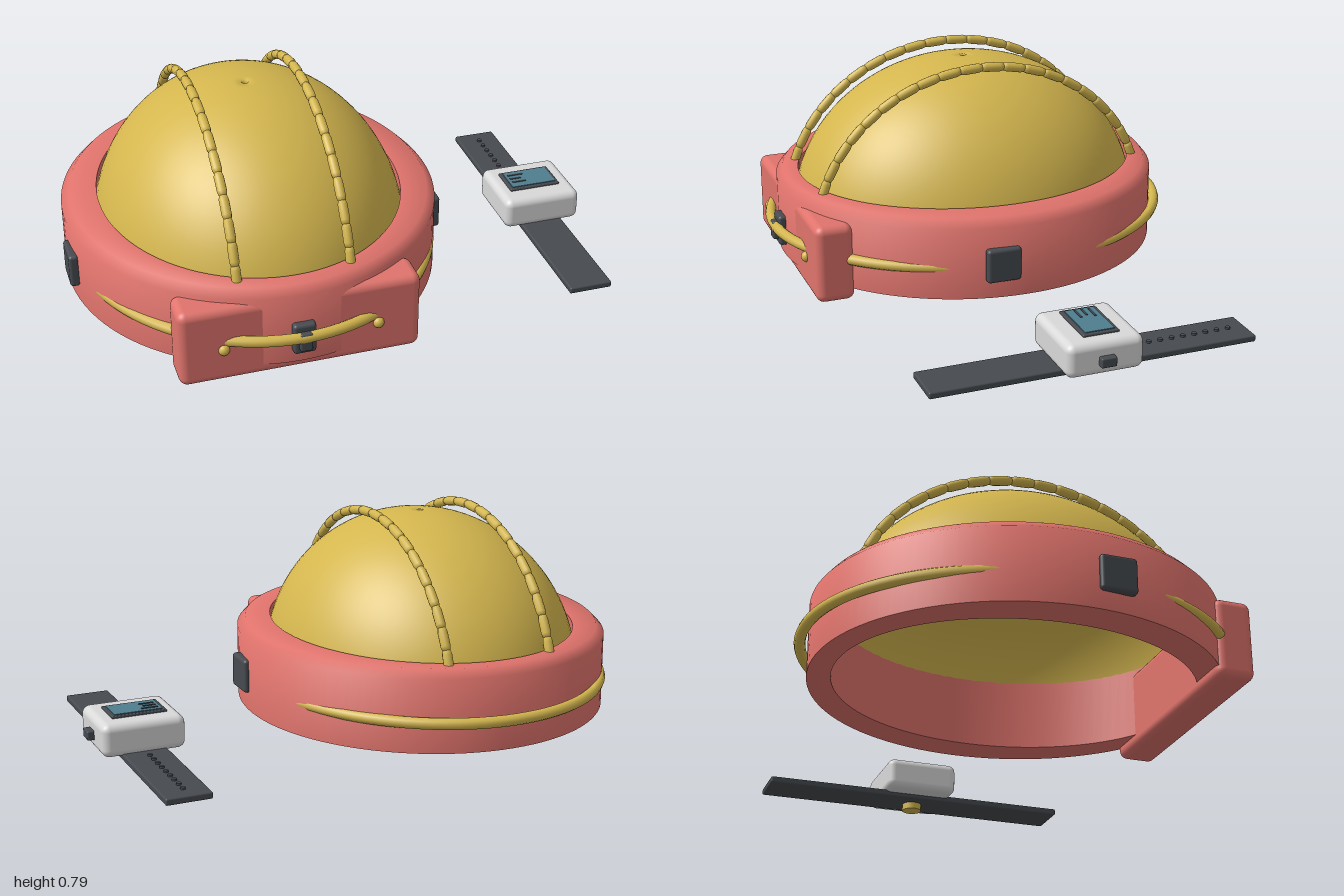
import * as THREE from 'three';
import { toCreasedNormals } from 'three/addons/utils/BufferGeometryUtils.js';
import { RoundedBoxGeometry } from 'three/addons/geometries/RoundedBoxGeometry.js';

const mat = (name, color, side = THREE.FrontSide) => {
  const m = new THREE.MeshStandardMaterial({ color, side });
  m.name = name;
  return m;
};

// Closed band lofted through ellipses given as [xRadius, zRadius, y]
function ellipticBand(rows, segments = 96) {
  const pos = [], index = [], n = rows.length;
  for (const [rx, rz, y] of rows) {
    for (let i = 0; i < segments; i++) {
      const a = (i / segments) * Math.PI * 2;
      pos.push(rx * Math.cos(a), y, rz * Math.sin(a));
    }
  }
  for (let j = 0; j < n; j++) {
    for (let i = 0; i < segments; i++) {
      const k = (i + 1) % segments, j2 = (j + 1) % n;
      const a = j * segments + i, b = j2 * segments + i;
      const c = j2 * segments + k, d = j * segments + k;
      index.push(a, b, d, b, c, d);
    }
  }
  const g = new THREE.BufferGeometry();
  g.setAttribute('position', new THREE.Float32BufferAttribute(pos, 3));
  g.setIndex(index);
  return toCreasedNormals(g, 1.0);
}

export function createModel() {
  const pink = mat('coral', 0xe0736c);
  const gold = mat('mustard', 0xd4b64e);
  const goldShell = mat('mustardShell', 0xd4b64e, THREE.DoubleSide);
  const dark = mat('charcoal', 0x474b50);
  const light = mat('lightGrey', 0xd9d9d9);
  const blue = mat('screenBlue', 0x4f7d8f);

  const root = new THREE.Group();
  root.name = 'capAndWatch';
  const cap = new THREE.Group();
  cap.name = 'cap';
  cap.position.x = -0.308;
  const watch = new THREE.Group();
  watch.name = 'watch';
  watch.position.set(0.826, 0, -0.024);
  root.add(cap, watch);

  const add = (parent, name, geo, material, x = 0, y = 0, z = 0) => {
    const m = new THREE.Mesh(geo, material);
    m.name = name;
    m.position.set(x, y, z);
    parent.add(m);
    return m;
  };
  const rbox = (w, h, d, r) => new RoundedBoxGeometry(w, h, d, 4, r);

  // Domed crown, open below, with a tiny vent at the top
  const profile = [];
  for (let i = 0; i <= 32; i++) {
    const t = 0.022 + (i / 32) * (Math.PI / 2 - 0.022);
    profile.push(new THREE.Vector2(Math.sin(t), Math.cos(t)));
  }
  profile.unshift(new THREE.Vector2(0.02, 0.975));
  const domeGeo = new THREE.LatheGeometry(profile.reverse(), 72);
  domeGeo.scale(0.5625, 0.585, 0.66);
  add(cap, 'dome', domeGeo, goldShell, 0, 0.19, 0);

  // Oval headband with a bevelled upper edge
  add(cap, 'headband', ellipticBand([
    [0.675, 0.72, 0.075], [0.675, 0.72, 0.34], [0.645, 0.695, 0.37],
    [0.545, 0.64, 0.37], [0.545, 0.64, 0.075],
  ]), pink);

  // Trim hoop emerging from the band at front and back
  const trim = [];
  for (let i = 0; i < 10; i++) {
    const a = (i / 10) * Math.PI * 2, c = 0.02 * Math.cos(a);
    trim.push([0.648 + c, 0.75 + c, 0.19 + 0.02 * Math.sin(a)]);
  }
  add(cap, 'trimHoop', ellipticBand(trim), gold);

  // Front housing, lamp and pins
  add(cap, 'frontHousing', rbox(0.845, 0.29, 0.14, 0.03), pink, 0, 0.18, 0.635);
  add(cap, 'lamp', rbox(0.08, 0.116, 0.06, 0.012), dark, 0, 0.177, 0.715);
  add(cap, 'lampLens', rbox(0.045, 0.07, 0.05, 0.008), dark, 0, 0.175, 0.739);

  for (const s of [-1, 1]) {
    add(cap, 'trimPin', new THREE.SphereGeometry(0.02, 16, 12), gold, s * 0.27, 0.164, 0.703);
    add(cap, 'sidePod', rbox(0.036, 0.125, 0.127, 0.012), dark, s * 0.673, 0.203, 0.097);

    // Segmented cord arching from front to back
    const cord = new THREE.Group();
    cord.name = 'cord';
    cap.add(cord);
    const at = (t) => new THREE.Vector3(
      s * 0.198, 0.19 + 0.588 * Math.sin(t), 0.645 * Math.cos(t));
    const count = 24, up = new THREE.Vector3(0, 1, 0);
    for (let i = 0; i < count; i++) {
      const p = at((i / count) * Math.PI), q = at(((i + 1) / count) * Math.PI);
      const h = p.distanceTo(q) * 0.53;
      const barrel = new THREE.LatheGeometry([
        [0, -h], [0.0135, -h], [0.0175, -h * 0.6], [0.0175, h * 0.6], [0.0135, h], [0, h],
      ].map(([x, y]) => new THREE.Vector2(x, y)), 12);
      const m = add(cord, 'cordSegment', barrel, gold);
      m.position.copy(p).add(q).multiplyScalar(0.5);
      m.quaternion.setFromUnitVectors(up, q.sub(p).normalize());
    }
  }

  // Watch case, bezel and screen
  add(watch, 'case', rbox(0.3, 0.12, 0.275, 0.028), light, 0, 0.1, 0);
  add(watch, 'bezel', rbox(0.2, 0.02, 0.13, 0.004), dark, -0.004, 0.158, -0.004);
  add(watch, 'screen', new THREE.BoxGeometry(0.175, 0.004, 0.105), blue, -0.004, 0.169, -0.004);
  [0.06, 0.045, 0.055].forEach((w, i) => {
    add(watch, 'screenBar', new THREE.BoxGeometry(w, 0.003, 0.008), dark,
      -0.08 + w / 2, 0.172, -0.035 + i * 0.025);
  });
  add(watch, 'crownButton', rbox(0.04, 0.034, 0.055, 0.005), dark, 0.154, 0.094, 0);

  // Strap with a row of studs and a round clasp beneath
  add(watch, 'strap', rbox(0.162, 0.024, 1.176, 0.006), dark, 0, 0.037, -0.002);
  for (let i = 0; i < 9; i++) {
    add(watch, 'strapStud', new THREE.CylinderGeometry(0.009, 0.009, 0.01, 12), dark,
      0, 0.051, -0.524 + i * 0.0428);
  }
  add(watch, 'clasp', new THREE.CylinderGeometry(0.037, 0.037, 0.028, 24), gold, 0, 0.014, 0);

  return root;
}
